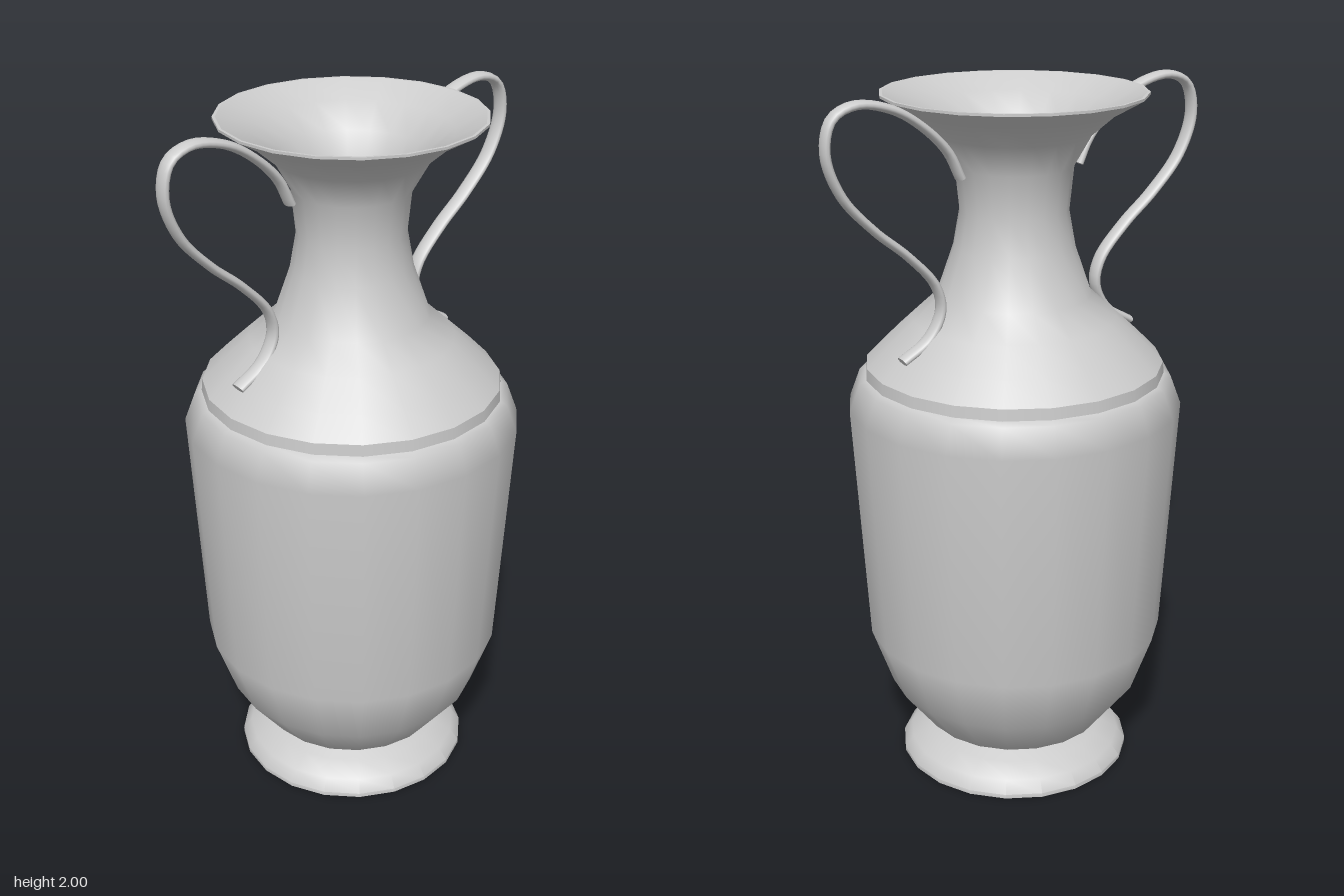
import * as THREE from 'three';
import { toCreasedNormals } from 'three/addons/utils/BufferGeometryUtils.js';

const SIDES = 20;
const material = new THREE.MeshStandardMaterial({ color: 0xcccccc });
const vectors = (list) => list.map(([x, y]) => new THREE.Vector2(x, y));

function turned(name, profile, crease) {
  let geometry = new THREE.LatheGeometry(vectors(profile), SIDES);
  if (crease) geometry = toCreasedNormals(geometry, crease);
  const mesh = new THREE.Mesh(geometry, material);
  mesh.name = name;
  return mesh;
}

// S-shaped strap handle: a planar tube widened along z, closed at both ends
function makeHandle(side) {
  const path = new THREE.CatmullRomCurve3([
    [0.185, 1.77], [0.22, 1.84], [0.29, 1.91], [0.38, 1.965], [0.485, 1.985],
    [0.55, 1.955], [0.57, 1.87], [0.53, 1.76], [0.44, 1.66], [0.345, 1.58],
    [0.265, 1.49], [0.25, 1.42], [0.29, 1.345], [0.37, 1.295],
  ].map(([x, y]) => new THREE.Vector3(side * x, y, 0)));
  const radius = 0.012;
  const handle = new THREE.Group();
  handle.name = side > 0 ? 'leftHandle' : 'rightHandle';
  const strap = new THREE.Mesh(new THREE.TubeGeometry(path, 64, radius, 12), material);
  strap.name = 'handleStrap';
  handle.add(strap);
  for (const t of [0, 1]) {
    const end = new THREE.Mesh(new THREE.CircleGeometry(radius, 12), material);
    const outward = path.getTangent(t).multiplyScalar(t ? 1 : -1);
    end.quaternion.setFromUnitVectors(new THREE.Vector3(0, 0, 1), outward);
    end.position.copy(path.getPoint(t));
    end.name = 'handleEnd';
    handle.add(end);
  }
  handle.scale.z = 1.95;
  handle.position.z = -0.03;
  return handle;
}

export function createModel() {
  const vase = new THREE.Group();
  vase.name = 'vase';

  // Flared foot with a flat underside
  vase.add(turned('foot', [
    [0, 0], [0.34, 0], [0.34, 0.012], [0.315, 0.045], [0.26, 0.072], [0.205, 0.095],
  ], 0.7));

  // Tapered belly, rounded in at the bottom and at the shoulder edge
  vase.add(turned('belly', [
    [0.2, 0.092], [0.27, 0.12], [0.37, 0.25], [0.43, 0.42], [0.47, 1.11], [0.44, 1.19], [0.42, 1.2],
  ]));

  // Narrow band stepping up to the shoulder
  vase.add(turned('shoulderBand', [[0.42, 1.2], [0.417, 1.232]]));

  // Sloping shoulder, waisted neck and trumpet mouth
  vase.add(turned('shoulderAndNeck', [
    [0.417, 1.232], [0.36, 1.29], [0.285, 1.36], [0.215, 1.425], [0.168, 1.56], [0.15, 1.66],
    [0.162, 1.78], [0.21, 1.865], [0.28, 1.925], [0.36, 1.97],
  ]));

  // Thin lip and hollow interior, continuing down to the floor
  vase.add(turned('lip', [[0.36, 1.97], [0.36, 1.977], [0.352, 1.977]], 0.5));
  vase.add(turned('innerWall', [
    [0.352, 1.977], [0.27, 1.935], [0.195, 1.875], [0.145, 1.785], [0.13, 1.66], [0.15, 1.56],
    [0.2, 1.425], [0.34, 1.285], [0.4, 1.22], [0.45, 1.1], [0.41, 0.43], [0.35, 0.26], [0.25, 0.14],
  ]));
  vase.add(turned('innerFloor', [[0.25, 0.14], [0, 0.14]]));

  for (const side of [1, -1]) vase.add(makeHandle(side));
  return vase;
}
